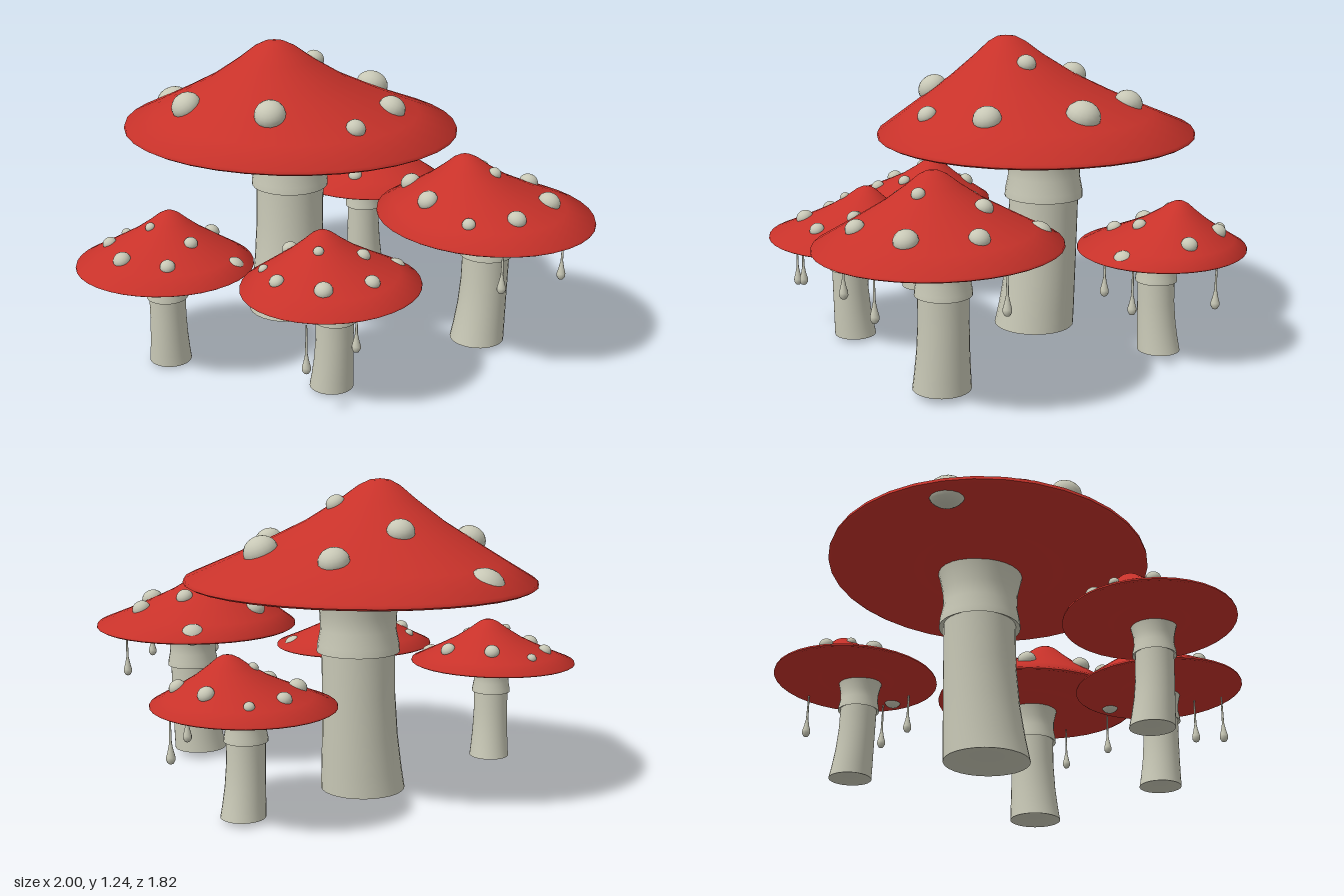
import * as THREE from 'three';
import { mergeVertices, toCreasedNormals } from 'three/addons/utils/BufferGeometryUtils.js';

const red = new THREE.MeshStandardMaterial({ color: 0xc8322a });
const pale = new THREE.MeshStandardMaterial({ color: 0xc8c8b6 });

// Cap outline as [radius, height] fractions: underside to rim, then rim to peak
const UNDER = [[0.19, -0.13], [0.26, -0.13], [0.45, -0.03], [0.7, 0.01], [0.93, -0.015], [0.98, -0.035], [1, -0.015]];
const CROWN = [[0.995, 0.02], [0.79, 0.2], [0.6, 0.375], [0.4, 0.57], [0.22, 0.79], [0.12, 0.93], [0.06, 0.985], [0, 1]];
const RIM = 0.85;
const CAP_HEIGHT = 0.39;

// Foot to collar, then collar to cap, as [radius, height]
const STEM = [[0, 0.035], [0.1, 0.02], [0.17, 0], [0.162, 0.09], [0.152, 0.23], [0.146, 0.4], [0.146, 0.58],
  [0.165, 0.57], [0.163, 0.6], [0.151, 0.66], [0.153, 0.72], [0.168, 0.79], [0.18, 0.83]];
const COLLAR = 0.57;

// Warts as [distance, angle in degrees, radius] on the cap
const WARTS = [[0.82, -124, 0.075], [0.43, -92, 0.055], [0.67, -57, 0.06], [0.66, -8, 0.07], [0.25, 0, 0.04],
  [0.61, 180, 0.063], [0.55, 122, 0.063], [0.66, 43, 0.057], [0.7, 81, 0.04]];

// Drips as [x, z, bottom height]
const DRIPS = [[0.44, 0.77, 0.38], [0.73, 0.755, 0.38], [0.88, 0.32, 0.39], [-0.36, 0.71, 0.19],
  [-0.17, 0.74, 0.25], [0.71, -0.29, 0.25], [0.81, -0.6, 0.26], [0.55, -0.26, 0.28]];

function addMesh(group, name, geometry, material) {
  const mesh = new THREE.Mesh(geometry, material);
  mesh.name = name;
  group.add(mesh);
  return mesh;
}

const toPoints = (profile) => profile.map(([x, y]) => new THREE.Vector2(x, y));

// Spin a profile, then move every vertex by a rule
function bentLathe(profile, segments, rule, crease) {
  const g = new THREE.LatheGeometry(toPoints(profile), segments);
  const p = g.attributes.position;
  const v = new THREE.Vector3();
  for (let i = 0; i < p.count; i++) {
    rule(v.fromBufferAttribute(p, i));
    p.setXYZ(i, v.x, v.y, v.z);
  }
  g.deleteAttribute('uv');
  g.deleteAttribute('normal');
  return toCreasedNormals(mergeVertices(g, 1e-5), crease);
}

// Slightly oval cap whose peak leans off centre, fading out toward the rim
function bendCap(v) {
  const k = v.y > 0.015 ? 1 - Math.pow(Math.min(1, Math.hypot(v.x, v.z)), 1.5) : 0;
  return v.set(
    0.685 * v.x + 0.027 * v.z - 0.11 * k,
    RIM + CAP_HEIGHT * v.y,
    0.027 * v.x + 0.68 * v.z + 0.09 * k,
  );
}

// The stem curves toward its foot
function bendStem(v) {
  const k = Math.pow(1 - Math.min(1, v.y / COLLAR), 2);
  v.x += 0.012 - 0.027 * k;
  v.z += -0.032 + 0.027 * k;
}

// Point on the crown above a position in the unit circle
function crownPoint(x, z) {
  const t = Math.hypot(x, z);
  const i = CROWN.findIndex(([r]) => r <= t);
  const [[r0, h0], [r1, h1]] = [CROWN[i - 1], CROWN[i]];
  return bendCap(new THREE.Vector3(x, THREE.MathUtils.mapLinear(t, r0, r1, h0, h1), z));
}

// Wart seated on the cap and tilted to its slope; the one nearest the rim pokes through
function addWart(group, geometry, [t, degrees, r]) {
  const a = THREE.MathUtils.degToRad(degrees);
  const x = t * Math.cos(a), z = t * Math.sin(a), e = 0.03;
  const dx = crownPoint(x + e, z).sub(crownPoint(x - e, z));
  const dz = crownPoint(x, z + e).sub(crownPoint(x, z - e));
  const wart = addMesh(group, 'wart', geometry, pale);
  wart.position.copy(crownPoint(x, z));
  if (t > 0.8) wart.position.y -= 0.04;
  wart.quaternion.setFromUnitVectors(new THREE.Vector3(0, 1, 0), dz.cross(dx).normalize());
  wart.scale.set(r, r * 0.85, r);
}

export function createModel() {
  const model = new THREE.Group();
  model.name = 'mushroomCluster';

  const cap = bentLathe([...UNDER, ...CROWN], 36, bendCap, 0.9);
  const stem = bentLathe(STEM, 28, bendStem, 0.8);
  const ball = new THREE.SphereGeometry(1, 16, 12);

  // One mushroom form, placed, sized and turned
  const addMushroom = (name, x, y, z, size, degrees) => {
    const mushroom = new THREE.Group();
    mushroom.name = name;
    addMesh(mushroom, 'cap', cap, red);
    addMesh(mushroom, 'stem', stem, pale);
    WARTS.forEach((w) => addWart(mushroom, ball, w));
    mushroom.position.set(x, y, z);
    mushroom.scale.setScalar(size);
    mushroom.rotation.y = -THREE.MathUtils.degToRad(degrees);
    model.add(mushroom);
  };
  addMushroom('largeMushroom', 0.01, 0, -0.23, 1, 0);
  addMushroom('frontLeftMushroom', 0.565, 0.025, 0.445, 0.657, 49);
  addMushroom('frontMushroom', -0.17, 0.012, 0.53, 0.505, 125);
  addMushroom('rightMushroom', -0.66, 0.01, 0.035, 0.497, 167);
  addMushroom('backMushroom', 0.53, 0.017, -0.53, 0.507, 191);

  // Teardrops on thin threads below the caps
  const drop = new THREE.LatheGeometry(toPoints([[0, 0], [0.01, 0.004], [0.017, 0.016], [0.017, 0.028],
    [0.011, 0.05], [0.005, 0.08], [0.003, 0.2]]), 12);
  for (const [x, z, y] of DRIPS) addMesh(model, 'drip', drop, pale).position.set(x, y, z);

  return model;
}
